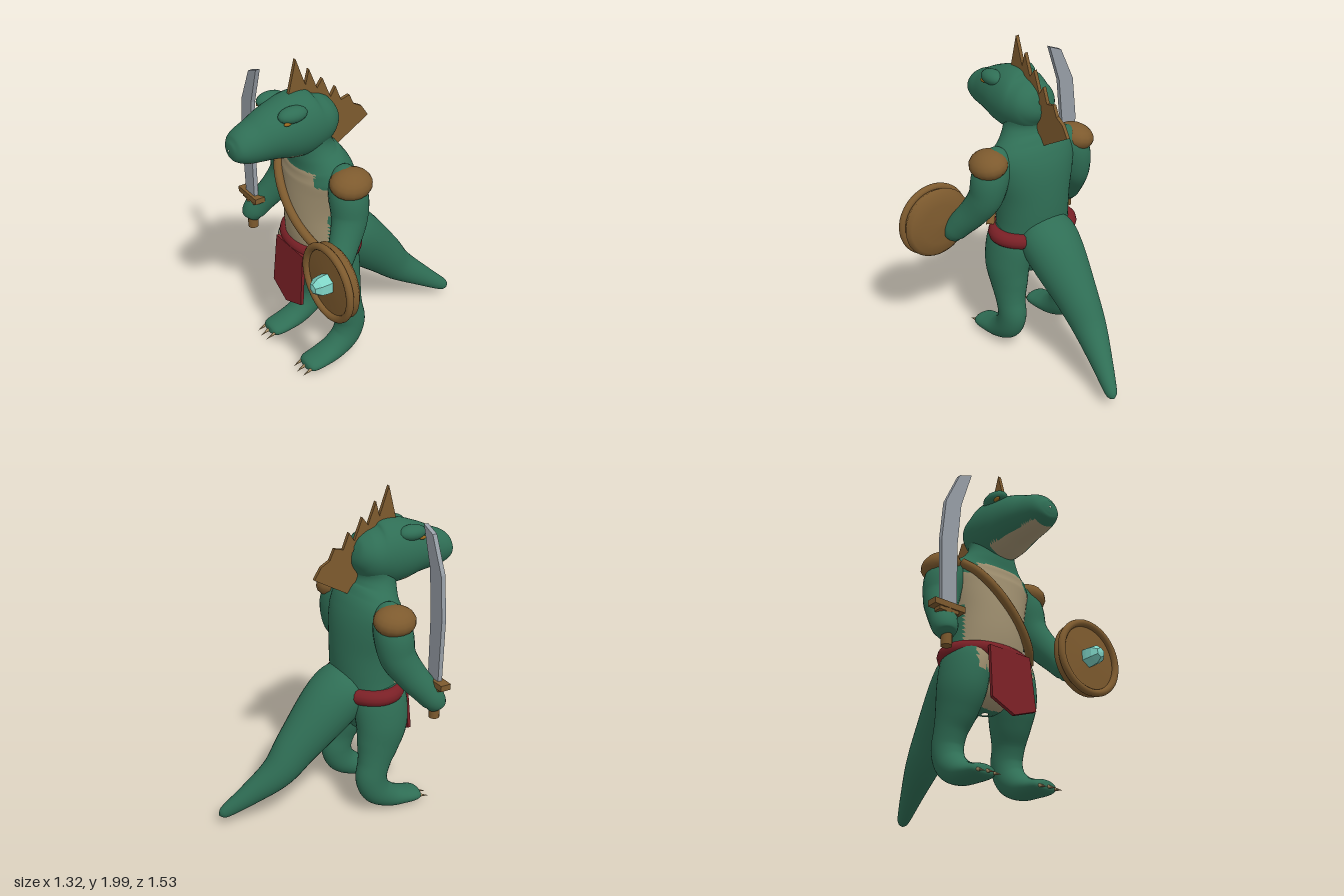
import * as THREE from 'three';

const mat = (name, color) => {
  const m = new THREE.MeshStandardMaterial({ color });
  m.name = name;
  return m;
};
const V = (x, y, z) => new THREE.Vector3(x, y, z);

// Smooth body through sections [x, y, z, side radius, other radius].
// Faces for which patch(x, y, z) is true get the second material.
function loft(sections, steps, sides, patch = () => false) {
  const path = new THREE.CatmullRomCurve3(sections.map(s => V(s[0], s[1], s[2])), false, 'catmullrom');
  const radii = new THREE.CatmullRomCurve3(sections.map(s => V(s[3], s[4], 0)), false, 'catmullrom');
  const pos = [], main = [], second = [];
  for (let i = 0; i <= steps; i++) {
    const c = path.getPoint(i / steps), r = radii.getPoint(i / steps), t = path.getTangent(i / steps);
    const u = V(1, 0, 0).addScaledVector(t, -t.x).normalize();
    const v = t.clone().cross(u);
    for (let j = 0; j < sides; j++) {
      const a = j / sides * Math.PI * 2;
      const p = c.clone().addScaledVector(u, Math.max(r.x, 0.003) * Math.cos(a))
        .addScaledVector(v, Math.max(r.y, 0.003) * Math.sin(a));
      pos.push(p.x, p.y, p.z);
    }
  }
  const mid = (k, ids) => ids.reduce((sum, i) => sum + pos[i * 3 + k], 0) / ids.length;
  for (let i = 0; i < steps; i++) for (let j = 0; j < sides; j++) {
    const k = (j + 1) % sides;
    const a = i * sides + j, b = i * sides + k, c = b + sides, d = a + sides;
    for (const tri of [[a, b, d], [b, c, d]])
      (patch(mid(0, tri), mid(1, tri), mid(2, tri)) ? second : main).push(...tri);
  }
  const g = new THREE.BufferGeometry();
  g.setAttribute('position', new THREE.Float32BufferAttribute(pos, 3));
  g.setIndex(main.concat(second));
  g.addGroup(0, main.length, 0);
  g.addGroup(main.length, second.length, 1);
  g.computeVertexNormals();
  return g;
}

// Flat plate cut from an outline, centred on its thickness
function plate(points, depth) {
  const shape = new THREE.Shape(points.map(p => new THREE.Vector2(p[0], p[1])));
  return new THREE.ExtrudeGeometry(shape, { depth, bevelEnabled: false }).translate(0, 0, -depth / 2);
}

export function createModel() {
  const green = mat('green skin', 0x2f6e55), tan = mat('tan belly', 0xa09070);
  const brown = mat('brown leather', 0x7d5a2e), red = mat('red cloth', 0x7a2026);
  const steel = mat('steel', 0x979ea6), aqua = mat('aqua gem', 0x7fd4c6);
  const amber = mat('amber eye', 0x9a6a20), claw = mat('claw', 0xa88f66);
  const skin = [green, tan];

  const root = new THREE.Group();
  root.name = 'lizardWarrior';
  const body = new THREE.Group();
  body.name = 'body';
  body.position.x = -0.115;
  root.add(body);
  const add = (parent, name, geo, material, x = 0, y = 0, z = 0) => {
    const m = new THREE.Mesh(geo, material);
    m.name = name;
    m.position.set(x, y, z);
    parent.add(m);
    return m;
  };

  // Torso and neck, with the tan belly
  const bellyWidth = y => y > 1.27 ? 0.17 : y > 1.07 ? 0.262 : 0.22;
  add(body, 'torso', loft([
    [0, 0.49, 0.18, 0.02, 0.02], [0, 0.52, 0.18, 0.11, 0.09], [0, 0.62, 0.19, 0.2, 0.155],
    [0, 0.75, 0.185, 0.24, 0.18], [0, 0.9, 0.185, 0.237, 0.2], [0, 1.05, 0.183, 0.243, 0.203],
    [0, 1.2, 0.183, 0.272, 0.194], [0, 1.3, 0.195, 0.285, 0.178], [0, 1.37, 0.213, 0.25, 0.153],
    [0, 1.43, 0.232, 0.18, 0.128], [0, 1.5, 0.24, 0.145, 0.118], [0, 1.6, 0.23, 0.145, 0.12],
    [0, 1.68, 0.23, 0.12, 0.1],
  ], 72, 56, (x, y, z) => z > 0.225 && y < 1.345 && y > 0.5 && Math.abs(x) < bellyWidth(y)), skin);

  // Head with the tan jaw
  add(body, 'head', loft([
    [0, 1.66, 0.09, 0.02, 0.02], [0, 1.655, 0.105, 0.09, 0.075], [0, 1.64, 0.15, 0.14, 0.125],
    [0, 1.62, 0.22, 0.165, 0.17], [0, 1.615, 0.3, 0.175, 0.195], [0, 1.61, 0.4, 0.172, 0.188],
    [0, 1.602, 0.5, 0.155, 0.158], [0, 1.585, 0.6, 0.131, 0.128], [0, 1.575, 0.68, 0.112, 0.106],
    [0, 1.57, 0.73, 0.09, 0.078], [0, 1.57, 0.755, 0.053, 0.045], [0, 1.57, 0.764, 0.005, 0.005],
  ], 66, 48, (x, y, z) => z > 0.36 && z < 0.7 && y < 1.465 + (z - 0.36) * 0.1), skin);

  // Tail, bending to the left at its tip
  add(body, 'tail', loft([
    [0, 0.86, 0.1, 0.15, 0.13], [0, 0.79, 0.03, 0.185, 0.165], [0, 0.685, -0.08, 0.175, 0.172],
    [0, 0.485, -0.275, 0.128, 0.137], [0.005, 0.335, -0.41, 0.1, 0.105], [0.05, 0.205, -0.575, 0.066, 0.071],
    [0.093, 0.11, -0.705, 0.04, 0.045], [0.104, 0.085, -0.742, 0.026, 0.03], [0.108, 0.075, -0.76, 0.003, 0.003],
  ], 48, 28), green);

  // Paired parts: legs, claws, arms, shoulder pads, brows and eyes
  for (const s of [-1, 1]) {
    const side = s < 0 ? 'right' : 'left';
    add(body, side + 'Leg', loft([
      [0.14 * s, 0.86, 0.2, 0.08, 0.1], [0.155 * s, 0.77, 0.2, 0.125, 0.165], [0.182 * s, 0.6, 0.2, 0.128, 0.165],
      [0.195 * s, 0.46, 0.168, 0.108, 0.136], [0.208 * s, 0.35, 0.135, 0.088, 0.105],
      [0.212 * s, 0.25, 0.115, 0.084, 0.1], [0.214 * s, 0.155, 0.15, 0.083, 0.092],
      [0.214 * s, 0.09, 0.24, 0.083, 0.073], [0.214 * s, 0.062, 0.34, 0.086, 0.053],
      [0.214 * s, 0.05, 0.42, 0.08, 0.042], [0.214 * s, 0.047, 0.45, 0.055, 0.028], [0.214 * s, 0.047, 0.46, 0.003, 0.003],
    ], 60, 32, (x, y, z) => y > 0.67 && z > 0.27 && Math.abs(x) < 0.2), skin);

    for (const k of [-1, 0, 1]) {
      const c = add(body, side + 'Claw', new THREE.ConeGeometry(0.016, 0.1, 8), claw,
        0.214 * s + k * 0.054, 0.038, k ? 0.46 : 0.472);
      c.rotation.x = Math.PI / 2 + 0.35;
    }

    add(body, side + 'Arm', loft([
      [0.2 * s, 1.36, 0.19, 0.04, 0.04], [0.245 * s, 1.33, 0.185, 0.09, 0.09], [0.305 * s, 1.23, 0.185, 0.115, 0.115],
      [0.335 * s, 1.1, 0.2, 0.103, 0.108], [0.375 * s, 0.99, 0.26, 0.086, 0.095], [0.42 * s, 0.89, 0.335, 0.077, 0.082],
      [0.445 * s, 0.82, 0.385, 0.072, 0.072], [0.45 * s, 0.775, 0.4, 0.05, 0.05], [0.452 * s, 0.755, 0.408, 0.003, 0.003],
    ], 48, 24), green);

    const pad = add(body, side + 'ShoulderPad', new THREE.SphereGeometry(1, 16, 10), brown, 0.325 * s, 1.32, 0.18);
    pad.scale.set(0.113, 0.082, 0.13);
    pad.rotation.z = -0.25 * s;

    const brow = add(body, side + 'Brow', new THREE.SphereGeometry(1, 20, 14), green, 0.115 * s, 1.737, 0.42);
    brow.scale.set(0.056, 0.046, 0.09);
    const eye = add(body, side + 'Eye', new THREE.SphereGeometry(1, 12, 8), amber, 0.148 * s, 1.708, 0.472);
    eye.scale.set(0.011, 0.012, 0.025);
  }

  // Spiked crest along head and neck, outline in z and y
  add(body, 'crest', plate([
    [0.385, 1.77], [0.325, 2.0], [0.265, 1.83], [0.24, 1.92], [0.19, 1.79], [0.152, 1.84], [0.1, 1.71],
    [0.065, 1.765], [0.028, 1.67], [-0.03, 1.685], [-0.06, 1.62], [-0.115, 1.59], [-0.16, 1.52],
    [0.075, 1.385], [0.16, 1.42], [0.2, 1.7],
  ], 0.022).rotateY(-Math.PI / 2), brown);

  // Belt and loincloth
  const ring = [];
  for (let i = 0; i < 24; i++) {
    const a = i / 24 * Math.PI * 2;
    ring.push(V(0.252 * Math.cos(a), 0.8, 0.18 + 0.175 * Math.sin(a)));
  }
  add(body, 'belt', new THREE.TubeGeometry(new THREE.CatmullRomCurve3(ring, true), 64, 0.049, 12, true), red);
  const cloth = add(body, 'loincloth', plate(
    [[-0.145, 0], [-0.155, -0.32], [-0.005, -0.395], [0.157, -0.335], [0.145, 0]], 0.02), red, 0, 0.8, 0.395);
  cloth.rotation.x = -0.09;

  // Strap across the chest
  const strap = [];
  for (let i = 0; i <= 10; i++) {
    const x = -0.25 + 0.05 * i;
    strap.push(V(x, 1.33 - 0.05 * i, 0.2 + 0.2 * Math.sqrt(1 - (x / 0.275) ** 2)));
  }
  add(body, 'chestStrap', new THREE.TubeGeometry(new THREE.CatmullRomCurve3(strap), 40, 0.027, 10), brown);

  // Curved sword in the right hand
  const sword = new THREE.Group();
  sword.name = 'sword';
  sword.position.z = 0.395;
  root.add(sword);
  add(sword, 'blade', plate([
    [-0.6, 0.94], [-0.5, 0.94], [-0.5, 1.34], [-0.475, 1.61], [-0.4, 1.845],
    [-0.487, 1.81], [-0.583, 1.6], [-0.61, 1.34],
  ], 0.028), steel);
  add(sword, 'guard', new THREE.BoxGeometry(0.205, 0.036, 0.066), brown, -0.558, 0.938);
  add(sword, 'guardCollar', new THREE.BoxGeometry(0.13, 0.03, 0.05), brown, -0.558, 0.915);
  add(sword, 'grip', new THREE.CylinderGeometry(0.032, 0.032, 0.22, 12), brown, -0.558, 0.815);

  // Round shield in front of the left hand
  const shield = new THREE.Group();
  shield.name = 'shield';
  shield.position.set(0.42, 0.885, 0);
  root.add(shield);
  const lathe = (pts, sides) => new THREE.LatheGeometry(pts.map(p => new THREE.Vector2(p[0], p[1])), sides)
    .rotateX(Math.PI / 2);
  add(shield, 'shieldBody', lathe([[0, 0.388], [0.13, 0.393], [0.2, 0.408], [0.227, 0.432], [0.215, 0.455],
    [0.205, 0.478], [0.2, 0.482], [0, 0.49]], 40), brown);
  add(shield, 'shieldRim', new THREE.TorusGeometry(0.217, 0.022, 12, 48), brown, 0, 0, 0.487);
  const gem = lathe([[0.062, 0.48], [0.062, 0.515], [0.056, 0.555], [0.03, 0.587], [0, 0.592]], 6).toNonIndexed();
  gem.computeVertexNormals();
  add(shield, 'gem', gem, aqua);

  return root;
}
